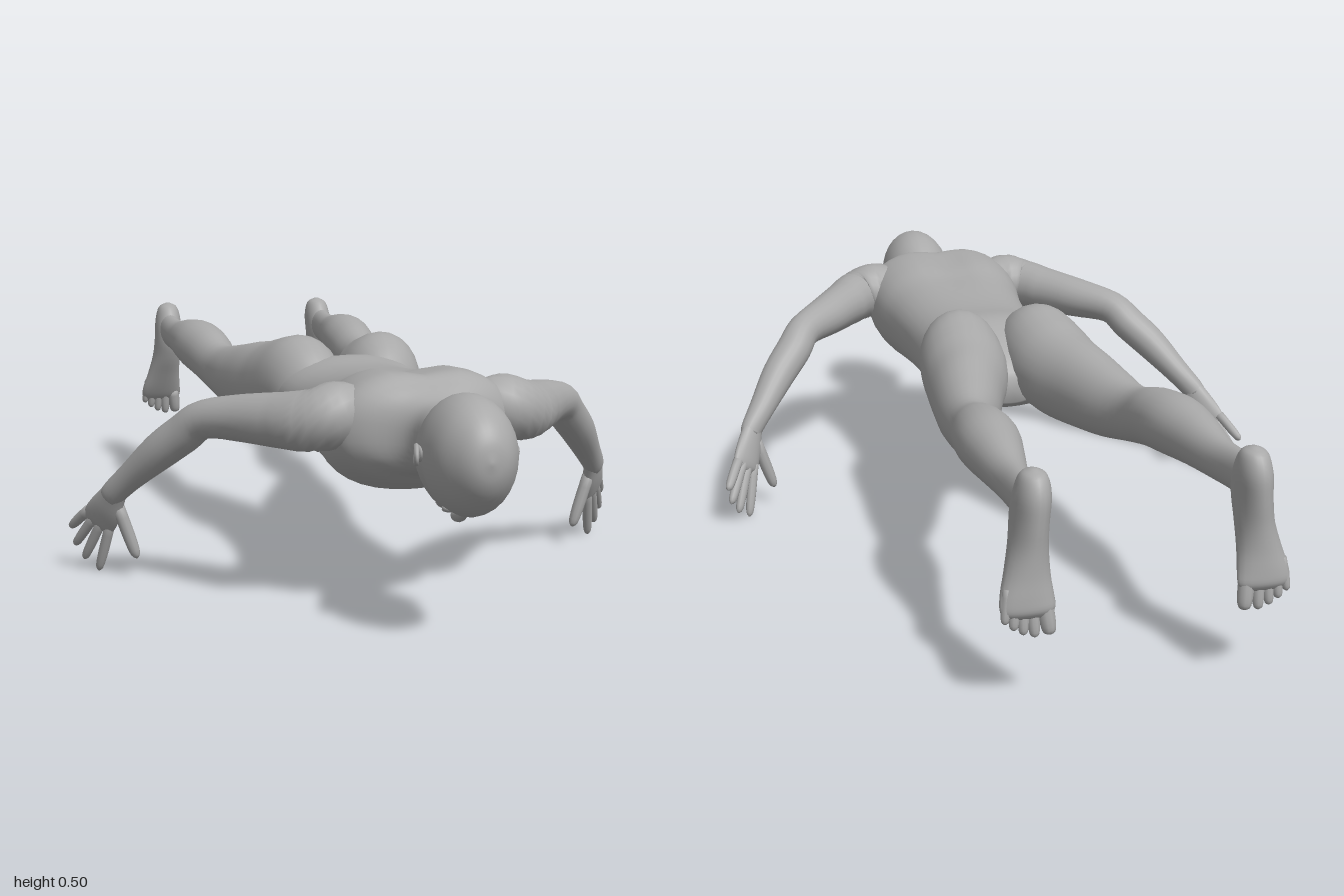
import * as THREE from 'three';

const V = (a) => new THREE.Vector3(...a);

// Loft elliptical rings through sections [x, y, z, halfWidth, halfHeight].
// u is the width direction; axis fixes the ring plane, otherwise it follows the path.
function loft(secs, u, { axis = null, steps = 4, sides = 20, power = 2, warp = null } = {}) {
  const path = new THREE.CatmullRomCurve3(secs.map((s) => V(s.slice(0, 3))), false, 'catmullrom');
  const size = new THREE.CatmullRomCurve3(secs.map((s) => V([s[3], s[4], 0])), false, 'catmullrom');
  const n = (secs.length - 1) * steps;
  const pos = [], idx = [];
  const add = (p) => { if (warp) warp(p); pos.push(p.x, p.y, p.z); };
  const bend = (k) => Math.sign(k) * Math.abs(k) ** (2 / power);
  for (let i = 0; i <= n; i++) {
    const c = path.getPoint(i / n), r = size.getPoint(i / n);
    const t = axis ? V(axis) : path.getTangent(i / n);
    const side = V(u).addScaledVector(t, -V(u).dot(t)).normalize();
    const up = t.clone().cross(side);
    for (let j = 0; j < sides; j++) {
      const a = (j / sides) * Math.PI * 2;
      add(c.clone()
        .addScaledVector(side, Math.max(r.x, 0.001) * bend(Math.cos(a)))
        .addScaledVector(up, Math.max(r.y, 0.001) * bend(Math.sin(a))));
      if (i < n) {
        const k = (j + 1) % sides, o = i * sides;
        idx.push(o + j, o + k, o + sides + k, o + j, o + sides + k, o + sides + j);
      }
    }
  }
  const first = pos.length / 3, o = n * sides;
  add(path.getPoint(0));
  add(path.getPoint(1));
  for (let j = 0; j < sides; j++) {
    const k = (j + 1) % sides;
    idx.push(first, k, j, first + 1, o + j, o + k);
  }
  const g = new THREE.BufferGeometry();
  g.setAttribute('position', new THREE.Float32BufferAttribute(pos, 3));
  g.setIndex(idx);
  g.computeVertexNormals();
  return g;
}

// Rings stacked along z from [z, halfWidth, top, bottom]
const alongZ = (rows, opts) => loft(
  rows.map(([z, w, top, bot]) => [0, (top + bot) / 2, z, w, (top - bot) / 2]),
  [-1, 0, 0], { axis: [0, 0, -1], ...opts });

// Tapered finger or toe with a rounded tip
function digit(from, to, r, u) {
  const a = V(from), b = V(to);
  const rows = [[0, 1], [0.45, 1], [0.75, 0.92], [0.93, 0.7], [1, 0.15]];
  return loft(rows.map(([t, k]) => [...a.clone().lerp(b, t).toArray(), r * k, r * k]), u,
    { steps: 2, sides: 10 });
}

function ellipsoid(c, s) {
  return new THREE.SphereGeometry(1, 16, 12).scale(...s).translate(...c);
}

// Mirror across x and turn the faces back outward
function mirrored(geo) {
  const g = geo.clone().scale(-1, 1, 1);
  const ix = g.index.array;
  for (let i = 0; i < ix.length; i += 3) [ix[i], ix[i + 1]] = [ix[i + 1], ix[i]];
  g.computeVertexNormals();
  return g;
}

export function createModel() {
  const model = new THREE.Group();
  model.name = 'proneFigure';
  const skin = new THREE.MeshStandardMaterial({ color: 0xa9a9a9 });
  skin.name = 'grey';
  const add = (name, geo) => {
    const m = new THREE.Mesh(geo, skin);
    m.name = name;
    model.add(m);
  };
  const pair = (name, geo) => {
    add(name + 'Left', geo);
    add(name + 'Right', mirrored(geo));
  };

  // Neck and torso, with a shallow furrow along the spine
  add('torso', alongZ([
    [0.83, 0.052, 0.45, 0.34], [0.77, 0.057, 0.455, 0.32], [0.725, 0.063, 0.458, 0.312],
    [0.695, 0.09, 0.468, 0.305], [0.665, 0.15, 0.486, 0.295], [0.63, 0.186, 0.506, 0.272],
    [0.57, 0.194, 0.508, 0.248], [0.5, 0.188, 0.5, 0.237], [0.42, 0.174, 0.48, 0.24],
    [0.3, 0.163, 0.462, 0.247], [0.2, 0.163, 0.456, 0.252], [0.1, 0.172, 0.46, 0.258],
    [0.03, 0.175, 0.44, 0.266], [-0.04, 0.13, 0.4, 0.277], [-0.08, 0.05, 0.36, 0.3],
  ], {
    sides: 36, power: 2.3,
    warp: (p) => {
      if (p.y < 0.4) return;
      const along = Math.exp(-(((p.z - 0.53) / 0.13) ** 2));
      p.y -= 0.024 * along * Math.exp(-((p.x / 0.05) ** 2));
    },
  }));

  // Head, face downward
  add('head', alongZ([
    [1, 0.004, 0.39, 0.38], [0.992, 0.034, 0.428, 0.343], [0.97, 0.058, 0.46, 0.308],
    [0.93, 0.08, 0.486, 0.274], [0.88, 0.088, 0.496, 0.259], [0.83, 0.087, 0.489, 0.257],
    [0.785, 0.077, 0.466, 0.256], [0.755, 0.062, 0.44, 0.26], [0.735, 0.045, 0.41, 0.282],
    [0.725, 0.015, 0.36, 0.32],
  ], {
    sides: 28,
    warp: (p) => {
      // Eye sockets and a jaw that narrows toward the chin
      const socket = ((Math.abs(p.x) - 0.034) / 0.018) ** 2 + ((p.z - 0.865) / 0.018) ** 2;
      if (p.y < 0.34) p.y += 0.009 * Math.exp(-socket);
      if (p.y < 0.36 && p.z < 0.86) p.x *= 1 - 0.15 * Math.min(1, (0.36 - p.y) / 0.08);
    },
  }));
  add('nose', loft([
    [0, 0.268, 0.875, 0.007, 0.006], [0, 0.258, 0.85, 0.01, 0.012],
    [0, 0.251, 0.826, 0.016, 0.014], [0, 0.255, 0.814, 0.01, 0.007],
  ], [-1, 0, 0], { axis: [0, 0, -1], sides: 12 }));
  add('upperLip', ellipsoid([0, 0.257, 0.797], [0.024, 0.008, 0.006]));
  add('lowerLip', ellipsoid([0, 0.257, 0.787], [0.02, 0.008, 0.006]));
  add('chin', ellipsoid([0, 0.268, 0.765], [0.026, 0.018, 0.018]));
  pair('eye', ellipsoid([0.034, 0.277, 0.865], [0.014, 0.009, 0.009]));
  pair('earRim', new THREE.TorusGeometry(0.019, 0.005, 8, 18)
    .scale(1.35, 0.9, 1).rotateY(Math.PI / 2 + 0.3).translate(0.093, 0.378, 0.844));
  pair('earBowl', ellipsoid([0.087, 0.38, 0.844], [0.008, 0.016, 0.024]));

  // Legs begin inside the hips, so the two lofts also form the buttocks
  pair('leg', loft([
    [0.08, 0.37, 0.15, 0.05, 0.06], [0.09, 0.375, 0.1, 0.08, 0.1],
    [0.097, 0.385, 0.03, 0.095, 0.114], [0.105, 0.376, -0.05, 0.1, 0.109],
    [0.117, 0.366, -0.12, 0.095, 0.102], [0.138, 0.36, -0.2, 0.083, 0.095],
    [0.161, 0.355, -0.3, 0.069, 0.08], [0.184, 0.358, -0.4, 0.049, 0.064],
    [0.193, 0.382, -0.5, 0.06, 0.066], [0.201, 0.395, -0.6, 0.065, 0.065],
    [0.208, 0.396, -0.7, 0.052, 0.055], [0.213, 0.391, -0.8, 0.035, 0.044],
    [0.218, 0.394, -0.88, 0.029, 0.043], [0.218, 0.398, -0.95, 0.028, 0.045],
  ], [-1, 0, 0], { axis: [0, 0, -1], sides: 24 }));

  // Feet hang down from the heels, soles to the rear
  pair('foot', loft([
    [0.216, 0.468, -0.95, 0.006, 0.008], [0.216, 0.456, -0.95, 0.025, 0.033],
    [0.217, 0.42, -0.946, 0.034, 0.053], [0.22, 0.37, -0.938, 0.035, 0.061],
    [0.224, 0.32, -0.944, 0.037, 0.051], [0.23, 0.27, -0.958, 0.044, 0.037],
    [0.234, 0.23, -0.971, 0.052, 0.027], [0.234, 0.205, -0.979, 0.053, 0.019],
    [0.234, 0.19, -0.981, 0.042, 0.008],
  ], [1, 0, 0], { axis: [0, -1, 0] }));
  [[0.193, 0.152, 0.016], [0.222, 0.15, 0.012], [0.244, 0.157, 0.011],
    [0.263, 0.168, 0.011], [0.28, 0.182, 0.01]].forEach(([x, y, r], i) =>
    pair('toe' + (i + 1), digit([x * 0.8 + 0.047, y + 0.065, -0.974], [x, y, -0.985], r, [1, 0, 0])));

  // Arms reach out and down
  pair('arm', loft([
    [0.11, 0.425, 0.57, 0.03, 0.04], [0.165, 0.418, 0.59, 0.065, 0.067],
    [0.22, 0.405, 0.587, 0.064, 0.065], [0.27, 0.398, 0.53, 0.057, 0.06],
    [0.33, 0.392, 0.455, 0.05, 0.051], [0.4, 0.38, 0.38, 0.041, 0.041],
    [0.435, 0.345, 0.338, 0.042, 0.043], [0.48, 0.3, 0.295, 0.04, 0.04],
    [0.53, 0.24, 0.24, 0.031, 0.031], [0.562, 0.2, 0.207, 0.028, 0.024],
    [0.57, 0.185, 0.195, 0.026, 0.02],
  ], [0.7, 0.45, -0.55]));

  // Hands with the palm spread across the u direction
  const spread = [0.7, 0.45, -0.55];
  pair('palm', loft([
    [0.556, 0.212, 0.215, 0.024, 0.02], [0.567, 0.185, 0.196, 0.031, 0.019],
    [0.578, 0.155, 0.175, 0.039, 0.018], [0.59, 0.125, 0.151, 0.041, 0.014],
    [0.595, 0.112, 0.144, 0.03, 0.006],
  ], spread));
  [['indexFinger', [0.568, 0.12, 0.168], [0.59, 0.004, 0.126]],
    ['middleFinger', [0.584, 0.125, 0.155], [0.618, 0.026, 0.1]],
    ['ringFinger', [0.598, 0.133, 0.143], [0.636, 0.056, 0.085]],
    ['littleFinger', [0.61, 0.145, 0.132], [0.643, 0.095, 0.074]],
    ['thumb', [0.556, 0.165, 0.197], [0.516, 0.045, 0.2]],
  ].forEach(([name, from, to]) =>
    pair(name, digit(from, to, name === 'thumb' ? 0.014 : 0.0115, spread)));

  return model;
}
